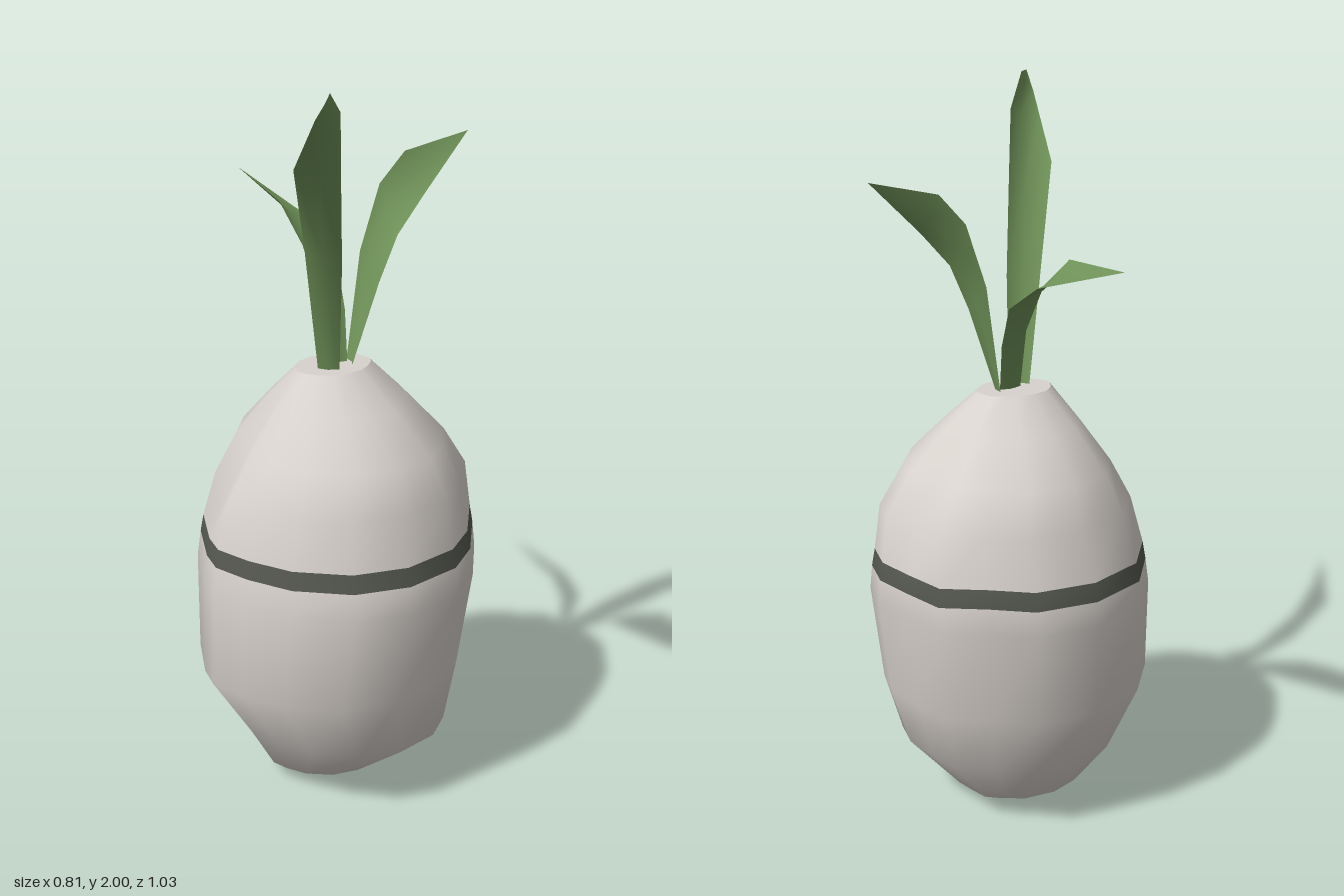
import * as THREE from 'three';

const shell = new THREE.MeshStandardMaterial({ color: 0xd8d2cd });
shell.name = 'pale shell';
const band = new THREE.MeshStandardMaterial({ color: 0x555850 });
band.name = 'dark band';
const green = new THREE.MeshStandardMaterial({ color: 0x71945a, side: THREE.DoubleSide });
green.name = 'leaf green';

// Irregular outline of the bulb seen from above, as [x, z]
const outline = [
  [-.41, .05], [-.39, -.03], [-.32, -.18], [-.2, -.305], [-.02, -.355], [.155, -.32],
  [.25, -.23], [.355, -.145], [.375, -.02], [.39, .11], [.355, .22], [.23, .36],
  [.12, .43], [-.05, .45], [-.2, .4], [-.32, .285], [-.38, .16],
].map(([x, z]) => [(x + .01) / .4, (z - .0475) / .4025]);

// Rings of the bulb: y, xMin, xMax, zMin, zMax
const rings = [
  [0, -.12, .08, -.05, .12],
  [.05, -.21, .17, -.13, .21],
  [.2, -.3, .3, -.26, .39],
  [.38, -.41, .362, -.315, .415],
  [.65, -.4, .39, -.35, .45],
  [.72, -.388, .388, -.342, .432],
  [.77, -.38, .38, -.33, .42],
  [.9, -.35, .365, -.285, .385],
  [1.01, -.28, .29, -.245, .35],
  [1.12, -.2, .19, -.135, .235],
  [1.21, -.12, .1, -.04, .13],
];
const BAND_ROW = 5;

function ringPoints([y, x0, x1, z0, z1]) {
  return outline.map(([u, v], i) => {
    // Shallow creases run down both sides of the shoulder
    const crease = y > .8 && y < 1.2 && (i === 1 || i === 8) ? .92 : 1;
    return [(x0 + x1) / 2 + u * crease * (x1 - x0) / 2, y, (z0 + z1) / 2 + v * crease * (z1 - z0) / 2];
  });
}

function buildGeometry(points, index) {
  const g = new THREE.BufferGeometry();
  g.setAttribute('position', new THREE.Float32BufferAttribute(points.flat(), 3));
  g.setIndex(index);
  g.computeVertexNormals();
  return g;
}

// Bulb wall, with the band as its own material group
function createWall() {
  const n = outline.length, index = [];
  for (let r = 0; r < rings.length - 1; r++) {
    for (let i = 0; i < n; i++) {
      const a = r * n + i, b = r * n + (i + 1) % n;
      index.push(a, a + n, b, b, a + n, b + n);
    }
  }
  const g = buildGeometry(rings.flatMap(ringPoints), index);
  const row = n * 6;
  g.addGroup(0, BAND_ROW * row, 0);
  g.addGroup(BAND_ROW * row, row, 1);
  g.addGroup((BAND_ROW + 1) * row, (rings.length - 2 - BAND_ROW) * row, 0);
  return new THREE.Mesh(g, [shell, band]);
}

// Flat end of the bulb
function createCap(ring, up) {
  const [y, x0, x1, z0, z1] = ring, n = outline.length, index = [];
  for (let i = 0; i < n; i++) {
    const j = (i + 1) % n;
    index.push(n, up ? j : i, up ? i : j);
  }
  return new THREE.Mesh(buildGeometry([...ringPoints(ring), [(x0 + x1) / 2, y, (z0 + z1) / 2]], index), shell);
}

// Leaf from pairs of edge points, with a folded midrib, closing at the tip
function createLeaf(sections, tip) {
  const pairs = sections.map((s) => [new THREE.Vector3(...s.slice(0, 3)), new THREE.Vector3(...s.slice(3))]);
  const end = new THREE.Vector3(...tip);
  const mids = [...pairs.map(([l, r]) => l.clone().lerp(r, .5)), end];
  const points = [], index = [];
  pairs.forEach(([l, r], k) => {
    const along = mids[k + 1].clone().sub(mids[k]);
    const out = r.clone().sub(l).cross(along).normalize();
    const rib = mids[k].clone().addScaledVector(out, l.distanceTo(r) * .12);
    points.push(l.toArray(), rib.toArray(), r.toArray());
    const a = k * 3, last = k === pairs.length - 1;
    for (const i of [a, a + 1]) {
      if (last) index.push(i, i + 1, pairs.length * 3);
      else index.push(i, i + 1, i + 3, i + 1, i + 4, i + 3);
    }
  });
  points.push(end.toArray());
  return new THREE.Mesh(buildGeometry(points, index), green);
}

export function createModel() {
  const model = new THREE.Group();
  model.name = 'sproutingBulb';
  const add = (name, mesh) => {
    mesh.name = name;
    model.add(mesh);
  };

  add('bulbWall', createWall());
  add('bulbBase', createCap(rings[0], false));
  add('bulbTop', createCap(rings[rings.length - 1], true));

  add('tallLeaf', createLeaf([
    [-.06, 1.2, .05, -.02, 1.2, .09],
    [-.13, 1.55, .09, -.035, 1.5, .12],
    [-.23, 1.78, .19, -.09, 1.75, .19],
    [-.3, 1.89, .35, -.15, 1.92, .27],
    [-.335, 1.945, .43, -.295, 2, .43],
  ], [-.37, 1.995, .515]));

  add('sideLeaf', createLeaf([
    [.025, 1.2, .08, .045, 1.2, .03],
    [.1, 1.43, .1, .09, 1.5, .028],
    [.15, 1.55, .11, .15, 1.67, .03],
    [.24, 1.645, .105, .22, 1.75, .045],
  ], [.4, 1.79, .083]));

  add('backLeaf', createLeaf([
    [.035, 1.2, .05, -.03, 1.2, .05],
    [.055, 1.34, .01, -.03, 1.37, .02],
    [.085, 1.46, -.07, -.025, 1.51, -.07],
    [.095, 1.54, -.21, -.01, 1.6, -.2],
  ], [.06, 1.63, -.515]));

  return model;
}
